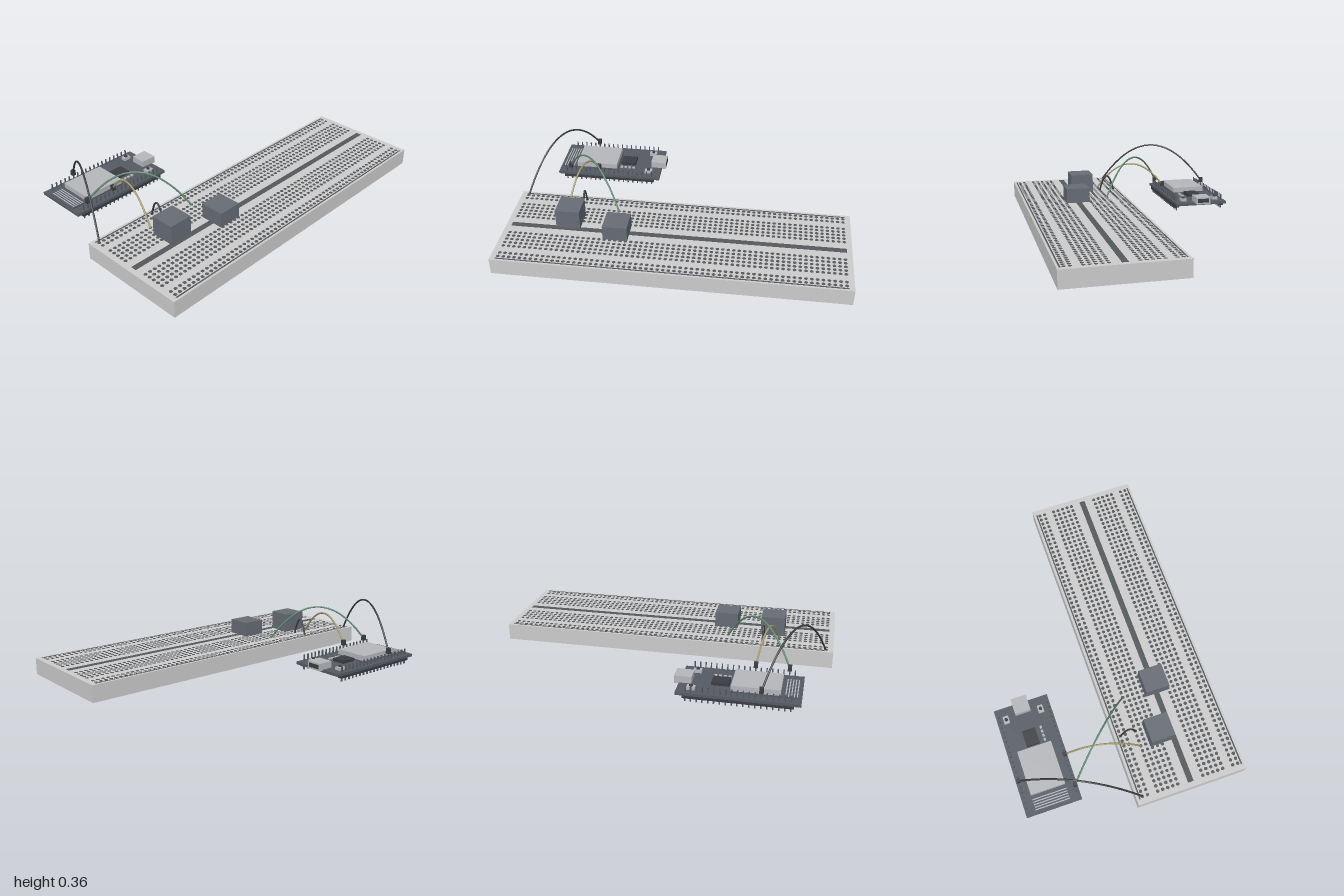
import * as THREE from 'three';
import { mergeGeometries } from 'three/addons/utils/BufferGeometryUtils.js';

const PITCH = 0.0309;
const mat = (color) => new THREE.MeshStandardMaterial({ color });
const LIGHT = mat(0xcccccc);
const HOLE = mat(0x55585c);
const DARK = mat(0x3a3d42);
const BOARD = mat(0x555a63);
const METAL = mat(0xb4b6ba);
const BLOCK = mat(0x666b75);

// Box geometry given by its min and max on each axis
function boxGeo(x0, x1, y0, y1, z0, z1) {
  return new THREE.BoxGeometry(x1 - x0, y1 - y0, z1 - z0)
    .translate((x0 + x1) / 2, (y0 + y1) / 2, (z0 + z1) / 2);
}

function add(parent, name, geometry, material) {
  const mesh = new THREE.Mesh(geometry, material);
  mesh.name = name;
  parent.add(mesh);
  return mesh;
}

function makeBreadboard() {
  const g = new THREE.Group();
  g.name = 'breadboard';
  const top = 0.098;
  add(g, 'breadboardBody', boxGeo(-1, 1, 0, top, -0.019, 0.643), LIGHT);
  add(g, 'centreChannel', boxGeo(-0.97, 0.97, top - 0.01, top + 0.001, 0.294, 0.328), HOLE);
  add(g, 'powerRailLines', mergeGeometries([0.0, 0.626].map((z) =>
    boxGeo(-0.97, 0.97, top - 0.01, top + 0.001, z - 0.004, z + 0.004))), HOLE);

  // Contact holes: two power rails and two banks of five rows
  const rows = [0.018, 0.049, 0.575, 0.606];
  for (let i = 0; i < 5; i++) rows.push(0.111 + i * PITCH, 0.389 + i * PITCH);
  const holes = [];
  for (const z of rows) {
    for (let c = 0; c < 63; c++) {
      holes.push(new THREE.CylinderGeometry(0.0105, 0.0105, 0.004, 8)
        .translate((c - 31) * PITCH, top - 0.001, z));
    }
  }
  add(g, 'contactHoles', mergeGeometries(holes), HOLE);

  // Two plugged-in components
  add(g, 'tallComponent', boxGeo(-0.704, -0.562, top, 0.213, 0.163, 0.306), BLOCK);
  add(g, 'shortComponent', boxGeo(-0.412, -0.27, top, 0.187, 0.241, 0.385), BLOCK);
  return g;
}

const PIN_X0 = -0.803;
const PIN_Z = [-0.323, -0.625];

function makeController() {
  const g = new THREE.Group();
  g.name = 'controllerBoard';
  const top = 0.068;
  add(g, 'circuitBoard', boxGeo(-0.855, -0.195, 0.052, top, -0.643, -0.31), BOARD);

  // Pin headers along both long edges
  const strips = [], pins = [];
  for (const z of PIN_Z) {
    strips.push(boxGeo(PIN_X0 - 0.015, PIN_X0 + 18.5 * PITCH, 0.034, 0.052, z - 0.013, z + 0.013));
    for (let i = 0; i < 19; i++) {
      const x = PIN_X0 + i * PITCH;
      pins.push(boxGeo(x - 0.0035, x + 0.0035, 0.013, 0.105, z - 0.0035, z + 0.0035));
    }
  }
  add(g, 'headerStrips', mergeGeometries(strips), DARK);
  add(g, 'headerPins', mergeGeometries(pins), BOARD);

  // Radio module with shield can and antenna traces
  add(g, 'radioModule', boxGeo(-0.845, -0.478, top, 0.076, -0.588, -0.372), BOARD);
  add(g, 'shieldCan', boxGeo(-0.745, -0.483, 0.076, 0.107, -0.582, -0.376), METAL);
  const traces = [];
  for (let i = 0; i < 5; i++) {
    const x = -0.83 + i * 0.015;
    traces.push(boxGeo(x - 0.003, x + 0.003, 0.076, 0.078, -0.582, -0.376));
  }
  add(g, 'antennaTraces', mergeGeometries(traces), METAL);

  // Chip and small surface parts
  add(g, 'chip', boxGeo(-0.467, -0.37, top, 0.086, -0.52, -0.44), DARK);
  const bits = [];
  for (let i = 0; i < 4; i++) {
    const x = -0.456 + i * 0.026;
    bits.push(boxGeo(x - 0.008, x + 0.008, top, 0.077, -0.413, -0.4));
  }
  add(g, 'smallParts', mergeGeometries(bits), METAL);

  // Push buttons
  for (const z of [-0.587, -0.374]) {
    add(g, 'buttonBase', boxGeo(-0.296, -0.25, top, 0.085, z - 0.017, z + 0.017), METAL);
    add(g, 'buttonCap', new THREE.CylinderGeometry(0.01, 0.01, 0.01, 16)
      .translate(-0.273, 0.088, z), DARK);
  }

  // Cable socket with its dark opening
  add(g, 'cableSocket', boxGeo(-0.264, -0.168, 0.063, 0.107, -0.527, -0.432), METAL);
  add(g, 'socketOpening', boxGeo(-0.18, -0.167, 0.073, 0.098, -0.517, -0.442), DARK);
  return g;
}

// Arched jumper wire; peak is the height of its middle
function makeWire(name, a, b, peak, color, plug) {
  const g = new THREE.Group();
  g.name = name;
  const start = new THREE.Vector3(...a), end = new THREE.Vector3(...b);
  const control = start.clone().add(end).multiplyScalar(0.5);
  control.y = 2 * peak - control.y;
  const curve = new THREE.QuadraticBezierCurve3(start, control, end);
  add(g, name + 'Cable', new THREE.TubeGeometry(curve, 40, 0.0055, 8), mat(color));
  if (plug) {
    const [x, , z] = b;
    add(g, name + 'Plug', boxGeo(x - 0.011, x + 0.011, 0.103, 0.136, z - 0.011, z + 0.011), DARK);
  }
  return g;
}

export function createModel() {
  const model = new THREE.Group();
  model.name = 'prototypingSet';
  model.add(makeBreadboard(), makeController());
  const pinX = (i) => PIN_X0 + i * PITCH;
  model.add(
    makeWire('longWire', [-0.956, 0.095, 0.018], [pinX(5), 0.115, PIN_Z[1]], 0.354, 0x3c3c3e, true),
    makeWire('greenWire', [-0.37, 0.095, 0.111], [pinX(1), 0.115, PIN_Z[0]], 0.311, 0x5f8a72, true),
    makeWire('yellowWire', [-0.68, 0.095, 0.111], [pinX(7), 0.115, PIN_Z[0]], 0.26, 0xa39a6a, true),
    makeWire('shortWire', [-0.587, 0.095, 0.018], [-0.587, 0.095, 0.111], 0.194, 0x3c3c3e, false),
  );
  return model;
}
